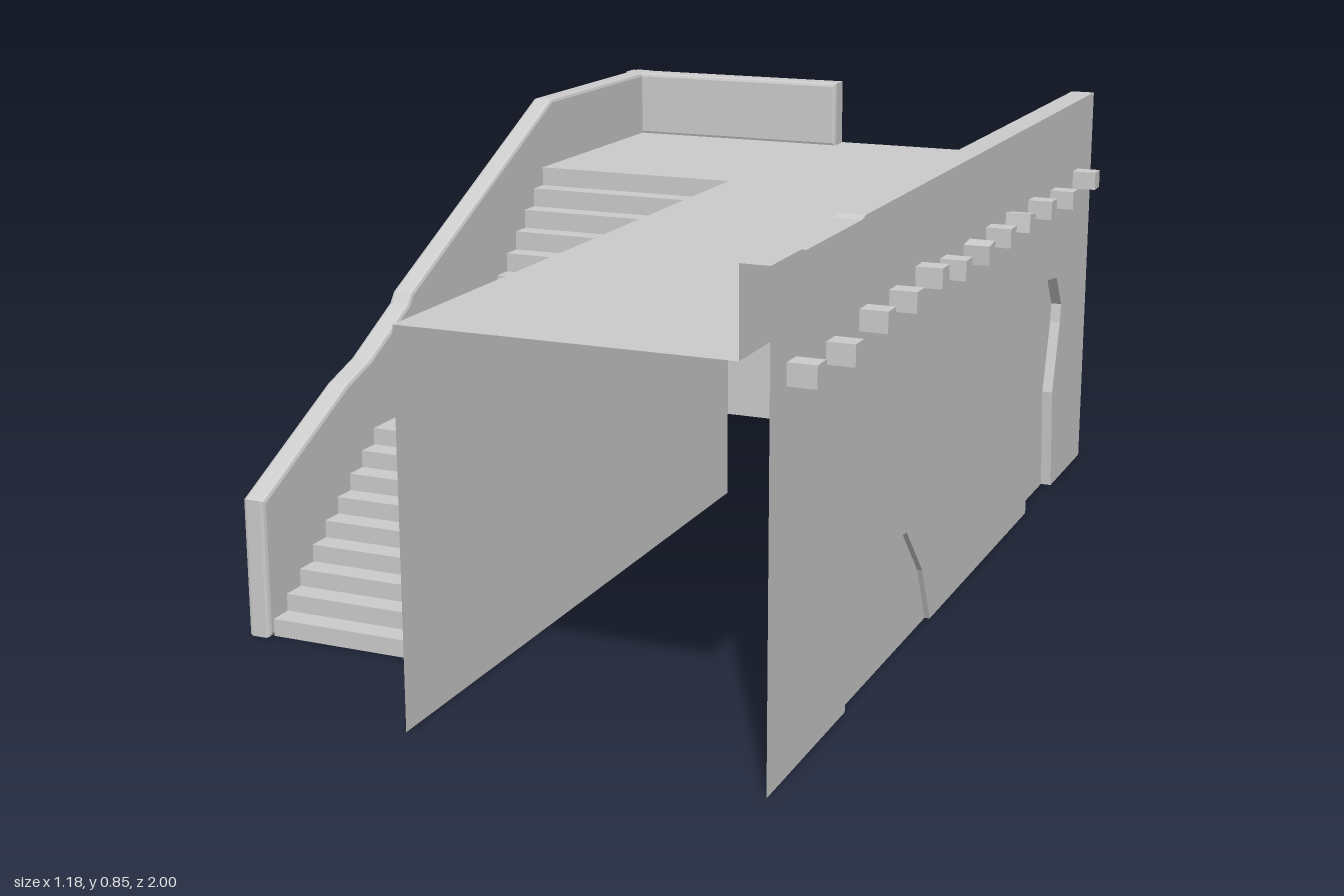
import * as THREE from 'three';

const mat = new THREE.MeshStandardMaterial({ color: 0xcccccc, side: THREE.DoubleSide, flatShading: true });

function add(group, name, geometry) {
  const mesh = new THREE.Mesh(geometry, mat);
  mesh.name = name;
  group.add(mesh);
  return mesh;
}

// Strip of flat quads: a 3D polyline swept by one offset vector
function ribbon(points, [ox, oy, oz]) {
  const pos = [];
  for (let i = 0; i < points.length - 1; i++) {
    const a = points[i], b = points[i + 1];
    const c = [b[0] + ox, b[1] + oy, b[2] + oz], d = [a[0] + ox, a[1] + oy, a[2] + oz];
    pos.push(...a, ...b, ...c, ...a, ...c, ...d);
  }
  const g = new THREE.BufferGeometry();
  g.setAttribute('position', new THREE.Float32BufferAttribute(pos, 3));
  g.computeVertexNormals();
  return g;
}

// Shape from [z, y] pairs, to be turned into the plane facing +x
const sideShape = (zy) => new THREE.Shape(zy.map(([z, y]) => new THREE.Vector2(-z, y)));
const sidePanel = (zy, x) =>
  new THREE.ShapeGeometry(sideShape(zy)).rotateY(Math.PI / 2).translate(x, 0, 0);

// Solid slab with softened edges
function slab(shape, thickness) {
  const b = 0.008;
  return new THREE.ExtrudeGeometry(shape, {
    depth: thickness - 2 * b, bevelEnabled: true, bevelThickness: b,
    bevelSize: b, bevelOffset: -b, bevelSegments: 2,
  }).translate(0, 0, b);
}

export function createModel() {
  const model = new THREE.Group();
  model.name = 'rampartWithStairs';
  const DECK = 0.7, OUT = 0.54, IN = 0.49, EDGE = -0.105, LEFT = -0.55, FAR = -0.595, STAIR_TOP = -0.41;

  // Walkway deck, L-shaped around the stair opening
  const deck = new THREE.Shape([
    [EDGE, -1], [IN, -1], [IN, 1], [LEFT, 1], [LEFT, -STAIR_TOP], [EDGE, -STAIR_TOP],
  ].map(([x, y]) => new THREE.Vector2(x, y)));
  add(model, 'deck', new THREE.ShapeGeometry(deck).rotateX(-Math.PI / 2).translate(0, DECK, 0));

  // Inner wall beside the stairs
  add(model, 'innerWall', ribbon([[EDGE, 0, 1], [EDGE, 0, STAIR_TOP]], [0, DECK, 0]));

  // Outer wall with two irregular arched niches and a worn top
  const niches = [
    { depth: 0.01, outline: [[0.635, 0], [0.615, 0.11], [0.465, 0.2], [0.35, 0.225], [0.31, 0.22], [0.21, 0.115], [0.155, 0]] },
    { depth: 0.022, outline: [[-0.53, 0], [-0.52, 0.21], [-0.54, 0.32], [-0.6, 0.44], [-0.65, 0.49],
      [-0.725, 0.48], [-0.775, 0.41], [-0.77, 0.37], [-0.725, 0.22], [-0.745, 0]] },
  ];
  const top = [[-1, 0.85], [0.57, 0.85], [0.59, 0.845], [0.85, 0.845], [0.87, 0.85], [1, 0.85]];
  add(model, 'outerWall', sidePanel(
    [[1, 0], ...niches[0].outline, ...niches[1].outline, [-1, 0], ...top], OUT));
  niches.forEach(({ depth, outline }) => {
    add(model, 'nichePanel', sidePanel(outline, OUT - depth));
    add(model, 'nicheReveal', ribbon(outline.map(([z, y]) => [OUT, y, z]), [-depth, 0, 0]));
  });

  // Parapet on the outer wall: inside face and cap
  add(model, 'parapetInside', sidePanel([[1, DECK], [-1, DECK], ...top], IN));
  add(model, 'parapetCap', ribbon(top.map(([z, y]) => [IN, y, z]), [OUT - IN, 0, 0]));

  // Row of slightly uneven stone blocks
  const blocks = [[0.91, 0.668], [0.735, 0.66], [0.575, 0.678], [0.42, 0.678], [0.275, 0.69], [0.13, 0.675],
    [-0.02, 0.675], [-0.17, 0.678], [-0.31, 0.68], [-0.48, 0.678], [-0.66, 0.668], [-0.855, 0.678]];
  blocks.forEach(([z, y], i) => {
    const block = add(model, 'wallBlock', new THREE.BoxGeometry(0.05, 0.038, 0.04));
    block.position.set(OUT + 0.025, y, z);
    block.rotation.x = [0, 0, 0, 0, 0, 0, 0.1, 0, -0.12, 0, 0, 0][i];
  });

  // Two stair flights with a landing between them
  const steps = [[LEFT, 0, 0.715]];
  function flight(n, z0, z1, y0, y1) {
    for (let i = 0; i < n; i++) {
      const z = z0 + (z1 - z0) * i / (n - 1);
      steps.push([LEFT, y0 + (y1 - y0) * i / n, z], [LEFT, y0 + (y1 - y0) * (i + 1) / n, z]);
    }
  }
  flight(9, 0.715, 0.34, 0, 0.3);
  flight(10, -0.01, STAIR_TOP, 0.3, DECK);
  add(model, 'stairs', ribbon(steps, [EDGE - LEFT, 0, 0]));

  // Sloping side wall with a chipped spot on its top edge
  const side = sideShape([[0.73, 0], [-1, 0], [-1, 0.845], [-0.46, 0.845],
    [0.175, 0.538], [0.19, 0.518], [0.34, 0.44], [0.43, 0.411], [0.73, 0.265]]);
  add(model, 'stairSideWall', slab(side, LEFT - FAR).rotateY(Math.PI / 2).translate(FAR, 0, 0));

  // Back wall below the deck and the parapet that turns the corner above it
  add(model, 'backWall', ribbon([[EDGE, 0, -1], [FAR + 0.005, 0, -1]], [0, DECK, 0]));
  const back = new THREE.Shape([[FAR, DECK - 0.003], [-0.055, DECK - 0.003], [-0.055, 0.845], [FAR, 0.845]]
    .map(([x, y]) => new THREE.Vector2(x, y)));
  add(model, 'backParapet', slab(back, 0.055).translate(0, 0, -1));

  return model;
}
